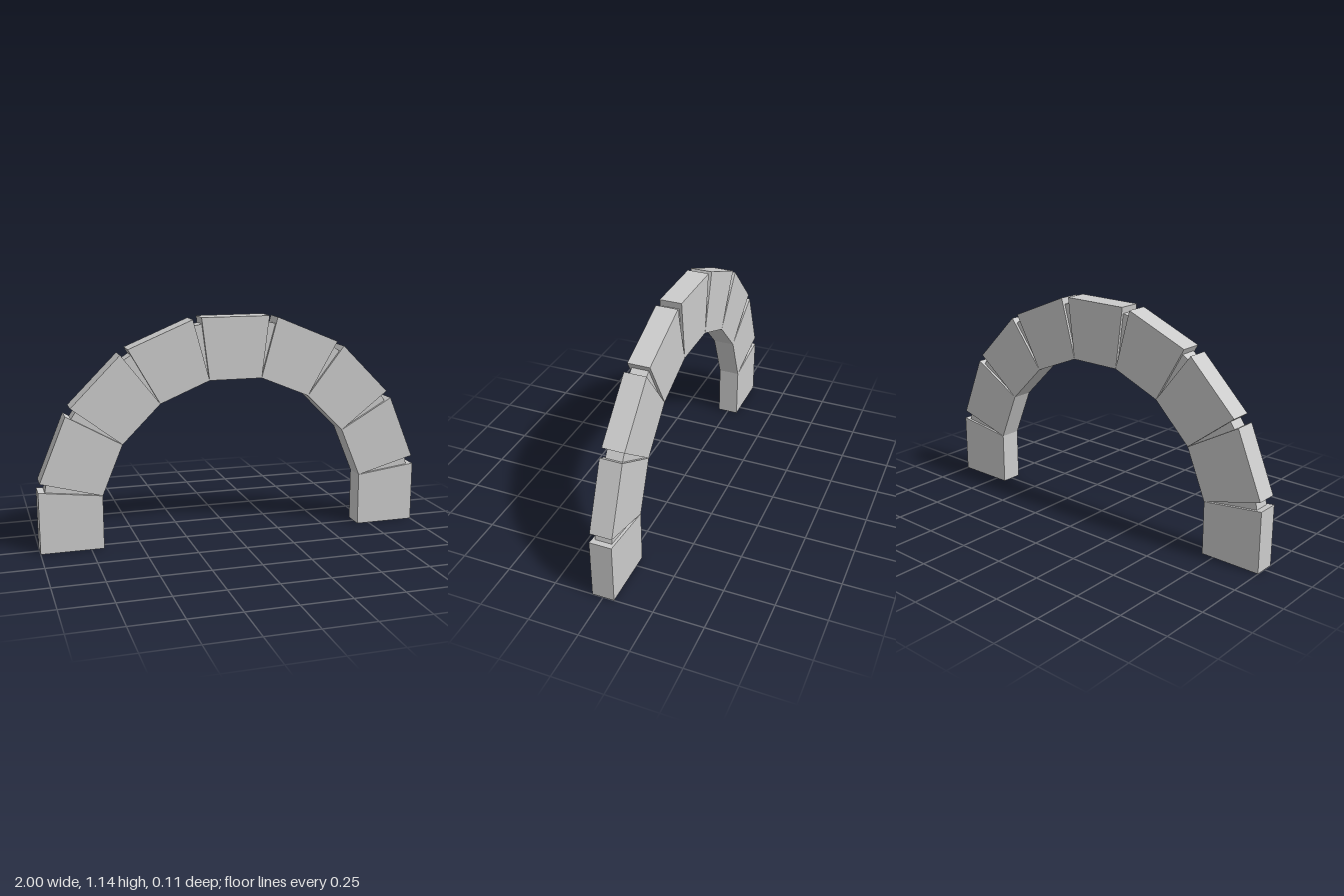
import * as THREE from 'three';

const COUNT = 9, STEP = Math.PI / 8;
const INNER = 0.686, OUTER = 1.0;         // distance from the arch centre to the block faces
const HALF_IN = INNER * Math.tan(STEP / 2), HALF_OUT = 0.176;
const CENTRE_Y = HALF_IN;
const BLOCK_DEPTH = 0.111, MORTAR_DEPTH = 0.084;

const material = new THREE.MeshStandardMaterial({ color: 0xcccccc, flatShading: true });

// Extrudes an outline, centred in z
function slab(name, points, depth) {
  const shape = new THREE.Shape(points.map(([x, y]) => new THREE.Vector2(x, y)));
  const geometry = new THREE.ExtrudeGeometry(shape, { depth, bevelEnabled: false });
  geometry.translate(0, 0, -depth / 2);
  const mesh = new THREE.Mesh(geometry, material);
  mesh.name = name;
  return mesh;
}

export function createModel() {
  const arch = new THREE.Group();
  arch.name = 'stoneArch';

  // Wedge stones; the two end stones have a level foot
  for (let i = 0; i < COUNT; i++) {
    const low = i === 0 ? HALF_IN : HALF_OUT;
    const high = i === COUNT - 1 ? HALF_IN : HALF_OUT;
    const stone = slab('archStone' + (i + 1),
      [[INNER, -HALF_IN], [OUTER, -low], [OUTER, high], [INNER, HALF_IN]], BLOCK_DEPTH);
    stone.position.y = CENTRE_Y;
    stone.rotation.z = i * STEP;
    arch.add(stone);
  }

  // Recessed mortar filling the narrow gap between neighbouring stones
  const apex = INNER / Math.cos(STEP / 2);
  const gap = STEP / 2 - Math.atan((HALF_OUT - HALF_IN) / (OUTER - INNER));
  const mortarOuter = 0.982;
  const half = (mortarOuter - apex) * Math.tan(gap);
  for (let i = 0; i < COUNT - 1; i++) {
    const mortar = slab('mortarJoint' + (i + 1),
      [[apex, 0], [mortarOuter, -half], [mortarOuter, half]], MORTAR_DEPTH);
    mortar.position.y = CENTRE_Y;
    mortar.rotation.z = (i + 0.5) * STEP;
    arch.add(mortar);
  }
  return arch;
}
